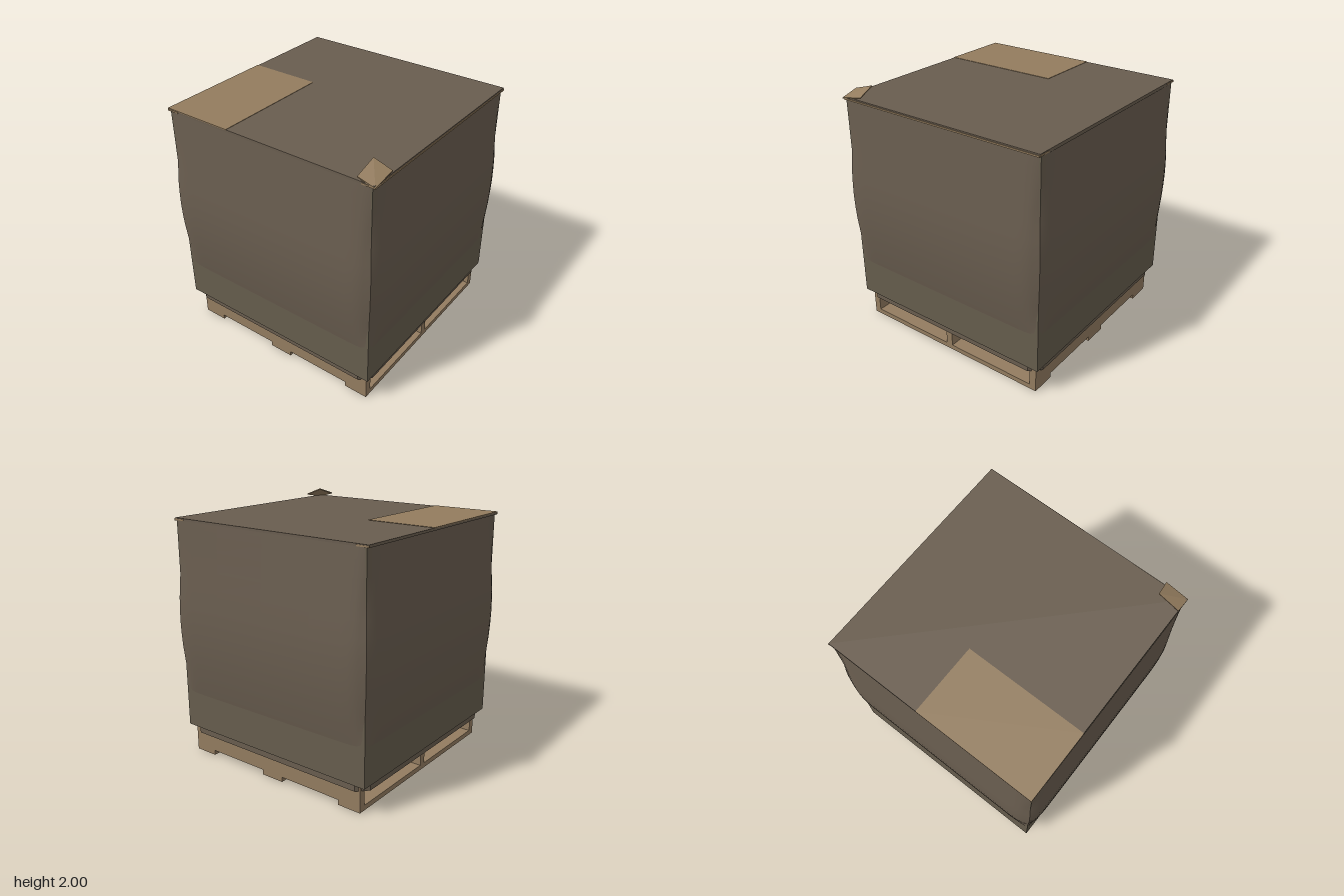
import * as THREE from 'three';

const mat = (name, color) => {
  const m = new THREE.MeshStandardMaterial({ color });
  m.name = name;
  return m;
};

export function createModel() {
  const wood = mat('pallet wood', 0x937c60);
  const card = mat('bare cardboard', 0x937c5e);
  const wrap = mat('carton brown', 0x695d4f);
  const base = mat('carton olive', 0x665d4d);
  const root = new THREE.Group();
  root.name = 'palletCarton';

  // Box given by its minimum and maximum corners
  const box = (name, material, x0, x1, y0, y1, z0, z1, parent = root) => {
    const m = new THREE.Mesh(new THREE.BoxGeometry(x1 - x0, y1 - y0, z1 - z0), material);
    m.position.set((x0 + x1) / 2, (y0 + y1) / 2, (z0 + z1) / 2);
    m.name = name;
    parent.add(m);
    return m;
  };

  // Pallet: bottom boards, stringers and slatted deck
  const pallet = new THREE.Group();
  pallet.name = 'pallet';
  root.add(pallet);
  for (const [z0, z1] of [[-0.815, -0.62], [-0.085, 0.11], [0.645, 0.84]])
    box('bottomBoard', wood, -0.825, 0.83, 0, 0.04, z0, z1, pallet);
  for (const x of [-0.797, 0.002, 0.802])
    box('stringer', wood, x - 0.028, x + 0.028, 0.04, 0.18, -0.815, 0.84, pallet);
  const slats = 7, slatWidth = 0.16, pitch = (1.655 - slatWidth) / (slats - 1);
  for (let i = 0; i < slats; i++) {
    const z = -0.815 + i * pitch;
    box('deckBoard', wood, -0.825, 0.83, 0.18, 0.222, z, z + slatWidth, pallet);
  }

  // Skirt under the carton with cut corners
  const octagon = (P, a, b, c) => {
    [[a - c, b], [a, b - c], [a, c - b], [a - c, -b], [c - a, -b], [-a, c - b], [-a, b - c], [c - a, b]]
      .forEach(([x, y], i) => (i ? P.lineTo(x, y) : P.moveTo(x, y)));
    P.closePath();
    return P;
  };
  const ring = octagon(new THREE.Shape(), 0.85, 0.86, 0.08);
  ring.holes.push(octagon(new THREE.Path(), 0.842, 0.852, 0.08));
  const skirtGeo = new THREE.ExtrudeGeometry(ring, { depth: 0.062, bevelEnabled: false });
  skirtGeo.rotateX(-Math.PI / 2);
  const skirt = new THREE.Mesh(skirtGeo, wrap);
  skirt.position.y = 0.17;
  skirt.name = 'skirt';
  root.add(skirt);

  // Straight inner carton
  box('cartonCore', base, -0.87, 0.87, 0.228, 1.9, -0.88, 0.88);

  // Bulging side panels: height, bulge and corner bulge for each row
  const rows = [
    [0.5, -0.004, -0.004], [0.55, 0.004, -0.004], [0.6, 0.012, -0.004], [0.7, 0.026, -0.004],
    [0.8, 0.037, 0.003], [0.9, 0.046, 0.01], [1.0, 0.051, 0.014], [1.1, 0.053, 0.016],
    [1.2, 0.052, 0.015], [1.3, 0.047, 0.012], [1.42, 0.039, 0.004], [1.55, 0.03, -0.003],
    [1.7, 0.02, -0.003], [1.82, 0.013, -0.003], [1.9, 0.008, -0.003],
  ];
  const across = [[0, 1], [0.5, 1], [0.8, 0.98], [0.87, 0.92], [0.92, 0.78], [0.96, 0.5], [1, 0]];
  const columns = [...across.slice(1).reverse().map(([u, f]) => [-u, f]), ...across];
  for (let k = 0; k < 4; k++) {
    const along = k % 2 ? 0.88 : 0.87, out = k % 2 ? 0.87 : 0.88;
    const pos = [], idx = [], n = columns.length;
    rows.forEach(([y, bulge, corner], j) => columns.forEach(([u, f], i) => {
      const edge = Math.abs(u) === 1 ? along + corner : along;
      pos.push(u * edge, y, out + corner + (bulge - corner) * f);
      if (i < n - 1 && j < rows.length - 1) {
        const a = j * n + i;
        idx.push(a, a + 1, a + n + 1, a, a + n + 1, a + n);
      }
    }));
    const g = new THREE.BufferGeometry();
    g.setAttribute('position', new THREE.Float32BufferAttribute(pos, 3));
    g.setIndex(idx);
    g.computeVertexNormals();
    const panel = new THREE.Mesh(g, wrap);
    panel.rotation.y = k * Math.PI / 2;
    panel.name = ['frontPanel', 'leftPanel', 'backPanel', 'rightPanel'][k];
    root.add(panel);
  }

  // Lid, bare edges and the bare flap lying on it
  box('lid', wrap, -0.876, 0.873, 1.898, 1.918, -0.896, 0.896);
  box('lidFrontEdge', card, -0.87, 0.873, 1.896, 1.908, 0.893, 0.902);
  for (const z of [-0.85, 0.85])
    for (const x of [-0.875, 0.872])
      box('cornerEdge', card, x - 0.004, x + 0.004, 1.9, 1.912, z - 0.05, z + 0.05);
  box('topFlap', card, -0.878, 0.09, 1.914, 1.921, -0.898, -0.33);

  // Small lifted corner flap with thickness
  const quad = [[-0.88, 1.908, 0.905], [-0.69, 1.943, 0.905], [-0.705, 1.998, 0.77], [-0.88, 1.945, 0.77]];
  const flapGeo = new THREE.BoxGeometry(1, 1, 1).toNonIndexed();
  const p = flapGeo.attributes.position;
  for (let i = 0; i < p.count; i++) {
    const c = quad[p.getZ(i) > 0 ? (p.getX(i) > 0 ? 1 : 0) : (p.getX(i) > 0 ? 2 : 3)];
    p.setXYZ(i, c[0], c[1] + (p.getY(i) > 0 ? 0.002 : -0.006), c[2]);
  }
  flapGeo.computeVertexNormals();
  const flap = new THREE.Mesh(flapGeo, card);
  flap.name = 'cornerFlap';
  root.add(flap);

  return root;
}
